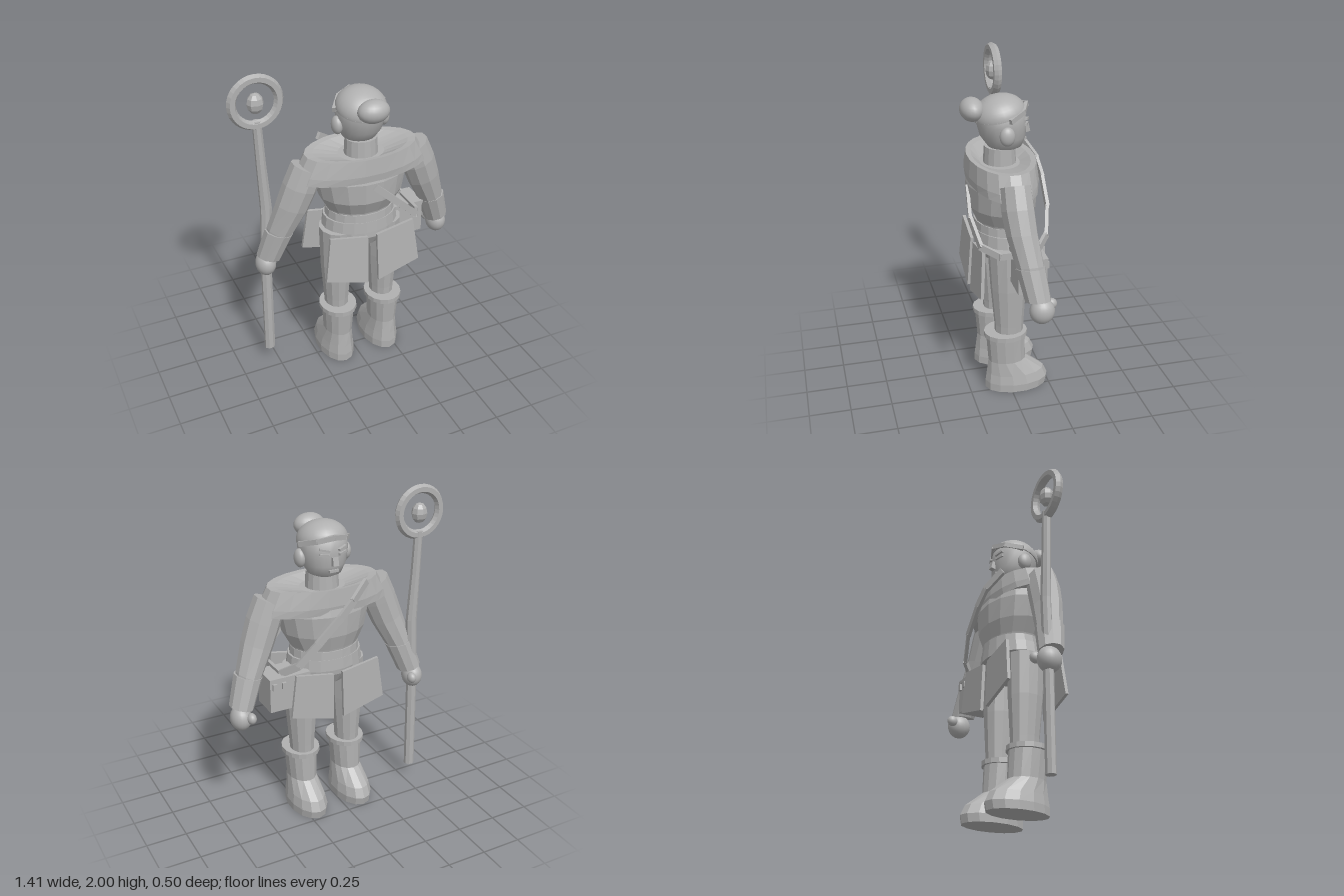
import * as THREE from 'three';

const grey = new THREE.MeshStandardMaterial({ color: 0xb0b0b0 });
grey.name = 'plain grey';
const CX = 0.047; // symmetry plane of the body

export function createModel() {
  const root = new THREE.Group();
  root.name = 'staffBearer';

  const add = (name, geo, pos = [0, 0, 0], scale = [1, 1, 1], rot = [0, 0, 0]) => {
    const m = new THREE.Mesh(geo, grey);
    m.name = name;
    m.position.set(...pos);
    m.scale.set(...scale);
    m.rotation.set(...rot);
    root.add(m);
    return m;
  };

  // Skin over elliptical rings [x, y, z, rx, rz, tilt], listed bottom to top
  const loft = (rings, n = 12, smooth = false) => {
    const p = [], idx = [];
    const k = rings.length;
    for (const [x, y, z, rx, rz, t = 0] of rings) {
      for (let j = 0; j < n; j++) {
        const a = ((j + 0.5) / n) * Math.PI * 2, u = rx * Math.cos(a);
        p.push(x + u * Math.cos(t), y + u * Math.sin(t), z + rz * Math.sin(a));
      }
    }
    p.push(...rings[0].slice(0, 3), ...rings[k - 1].slice(0, 3));
    for (let j = 0; j < n; j++) {
      const q = (j + 1) % n, top = (k - 1) * n;
      for (let i = 0; i < k - 1; i++) {
        const a = i * n + j, b = i * n + q;
        idx.push(a, a + n, b, b, a + n, b + n);
      }
      idx.push(k * n, j, q, k * n + 1, top + q, top + j);
    }
    let g = new THREE.BufferGeometry();
    g.setAttribute('position', new THREE.Float32BufferAttribute(p, 3));
    g.setIndex(idx);
    if (!smooth) g = g.toNonIndexed();
    g.computeVertexNormals();
    return g;
  };

  const ball = new THREE.SphereGeometry(1, 20, 14);
  const box = (w, h, d) => new THREE.BoxGeometry(w, h, d);

  // Flat bars joining consecutive points
  const strap = (name, pts, width, thick) => {
    for (let i = 0; i < pts.length - 1; i++) {
      const a = new THREE.Vector3(...pts[i]), b = new THREE.Vector3(...pts[i + 1]);
      const m = add(name, box(thick, width, a.distanceTo(b) + thick * 0.6));
      m.position.copy(a).lerp(b, 0.5);
      m.lookAt(b);
    }
  };

  // Torso, pelvis, belts
  add('torso', loft([
    [CX, 1.06, 0, 0.2, 0.16], [CX, 1.11, 0, 0.215, 0.17], [CX, 1.2, 0.01, 0.262, 0.205],
    [CX, 1.33, 0.01, 0.29, 0.21], [CX, 1.45, 0.01, 0.27, 0.18]], 16));
  add('pelvis', loft([
    [CX, 0.86, 0.01, 0.13, 0.12], [CX, 0.93, 0.01, 0.21, 0.16], [CX, 1.06, 0, 0.215, 0.165]], 16));
  add('belt', loft([[CX, 1.05, 0, 0.218, 0.178], [CX, 1.1, 0, 0.214, 0.175]], 20));
  add('hipBelt', loft([[CX, 0.98, 0, 0.24, 0.185], [CX, 1.05, 0, 0.23, 0.18]], 20));

  // Shoulder mantle, sinking in towards the neck
  add('mantle', loft([
    [CX, 1.38, 0.01, 0.28, 0.17], [CX, 1.345, 0.015, 0.425, 0.2], [CX, 1.39, 0.015, 0.405, 0.205],
    [CX, 1.49, 0.015, 0.35, 0.195], [CX, 1.485, 0.015, 0.3, 0.165], [CX, 1.445, 0.02, 0.12, 0.11]], 20));

  // Neck and head
  add('neck', loft([[CX, 1.4, 0.02, 0.105, 0.1], [CX, 1.55, 0.02, 0.098, 0.09]], 16));
  add('head', loft([
    [CX, 1.53, -0.01, 0.06, 0.06], [CX, 1.55, -0.01, 0.1, 0.1], [CX, 1.61, 0, 0.132, 0.133],
    [CX, 1.69, 0.01, 0.147, 0.145], [CX, 1.76, 0.015, 0.142, 0.142], [CX, 1.82, 0.02, 0.09, 0.09],
    [CX, 1.84, 0.02, 0.01, 0.01]], 20, true));
  add('cap', new THREE.SphereGeometry(1, 24, 10, 0, Math.PI * 2, 0, Math.PI / 2),
    [CX, 1.735, 0.018], [0.15, 0.115, 0.153], [0.22, 0, 0]);
  add('capBase', new THREE.CylinderGeometry(0.15, 0.15, 0.008, 24), [CX, 1.735, 0.018], [1, 1, 1.02], [0.22, 0, 0]);
  add('hairBun', ball, [CX, 1.775, 0.182], [0.096, 0.068, 0.07]);
  strap('headband', [
    [CX - 0.155, 1.735, -0.01], [CX - 0.09, 1.765, -0.1], [CX, 1.785, -0.138],
    [CX + 0.09, 1.765, -0.1], [CX + 0.155, 1.735, -0.01]], 0.03, 0.02);

  // Face
  add('nose', box(0.035, 0.05, 0.03), [CX, 1.645, -0.14], [1, 1, 1], [0.2, 0, 0]);
  add('mouth', box(0.06, 0.015, 0.02), [CX, 1.585, -0.125]);
  for (const s of [-1, 1]) {
    add('ear', ball, [CX + s * 0.147, 1.645, 0.01], [0.033, 0.056, 0.045]);
    add('eye', box(0.06, 0.014, 0.02), [CX + s * 0.057, 1.685, -0.122], [1, 1, 1], [0, s * -0.4, s * 0.1]);
    add('eyebrow', box(0.06, 0.012, 0.02), [CX + s * 0.055, 1.715, -0.125], [1, 1, 1], [0, s * -0.4, s * 0.2]);
  }

  for (const s of [-1, 1]) {
    const X = (d) => CX + s * d;

    // Arm, cuff, hand
    add('arm', loft([
      [X(0.55), 0.86, -0.05, 0.062, 0.062, s * 0.4], [X(0.51), 1.0, -0.03, 0.08, 0.08, s * 0.4],
      [X(0.437), 1.17, 0, 0.1, 0.09, s * 0.36], [X(0.387), 1.3, 0.012, 0.106, 0.095, s * 0.38],
      [X(0.34), 1.42, 0.015, 0.1, 0.09, s * 0.45]], 10));
    add('cuff', loft([
      [X(0.575), 0.82, -0.06, 0.075, 0.075, s * 0.25], [X(0.512), 1.0, -0.03, 0.087, 0.085, s * 0.25]], 10));
    add('hand', ball, [X(0.59), 0.76, -0.08], [0.063, 0.077, 0.073]);
    add('thumb', ball, [X(0.548), 0.775, -0.145], [0.028, 0.034, 0.034]);

    // Leg and boot
    const f = X(0.158);
    add('leg', loft([
      [f, 0.34, 0, 0.07, 0.085], [f, 0.45, 0, 0.077, 0.09], [f, 0.7, 0.005, 0.097, 0.108],
      [f, 0.97, 0.01, 0.105, 0.12]], 12));
    add('boot', loft([
      [f, 0, -0.045, 0.112, 0.195], [f, 0.05, -0.05, 0.114, 0.2], [f, 0.11, -0.04, 0.104, 0.182],
      [f, 0.2, 0.012, 0.088, 0.118], [f, 0.38, 0.023, 0.1, 0.121]], 14));
    add('bootCuff', loft([[f, 0.37, 0.022, 0.116, 0.134], [f, 0.4, 0.022, 0.116, 0.134]], 16));

    // Hanging hip plates, behind and in front
    const plate = new THREE.Shape([
      [0.03, 0.955], [0.273, 1.0], [0.31, 0.715], [0.035, 0.635]].map(([x, y]) => new THREE.Vector2(s * x, y - 1)));
    const plateGeo = new THREE.ExtrudeGeometry(plate, { depth: 0.02, bevelEnabled: false });
    add('rearHipPlate', plateGeo, [CX, 1, 0.17], [1, 1, 1], [-0.07, 0, 0]);
    add('frontHipPlate', plateGeo, [CX, 1, -0.185], [1, 0.93, 1], [0.03, 0, 0]);
  }

  // Shoulder strap, front and rear runs
  strap('frontStrap', [
    [-0.14, 1.5, -0.17], [-0.03, 1.42, -0.223], [0.06, 1.335, -0.235], [0.2, 1.2, -0.23],
    [0.31, 1.07, -0.195], [0.385, 1.01, -0.12]], 0.045, 0.02);
  strap('rearStrap', [
    [0.05, 1.305, 0.215], [0.2, 1.17, 0.232], [0.33, 1.045, 0.2], [0.39, 1.0, 0.1],
    [0.39, 1.0, -0.1]], 0.04, 0.02);

  // Side bag with flap and clasps
  add('bag', box(0.25, 0.2, 0.17), [0.352, 0.885, -0.07]);
  add('bagFlap', box(0.26, 0.02, 0.18), [0.35, 0.99, -0.07]);
  for (const x of [0.39, 0.45]) add('bagClasp', box(0.025, 0.04, 0.02), [x, 0.95, -0.16]);

  // Staff with a ring and a floating bead
  add('staff', loft([
    [-0.547, 0.1, -0.085, 0.034, 0.03], [-0.54, 0.7, -0.085, 0.034, 0.03],
    [-0.52, 1.15, -0.085, 0.036, 0.03], [-0.535, 1.45, -0.085, 0.03, 0.028],
    [-0.545, 1.72, -0.085, 0.027, 0.026]], 8));
  const ringGeo = new THREE.TorusGeometry(0.138, 0.028, 6, 32).toNonIndexed();
  ringGeo.computeVertexNormals();
  add('staffRing', ringGeo, [-0.547, 1.835, -0.083]);
  const bead = new THREE.SphereGeometry(1, 8, 6).toNonIndexed();
  bead.computeVertexNormals();
  add('staffBead', bead, [-0.547, 1.828, -0.083], [0.05, 0.062, 0.045]);

  return root;
}
